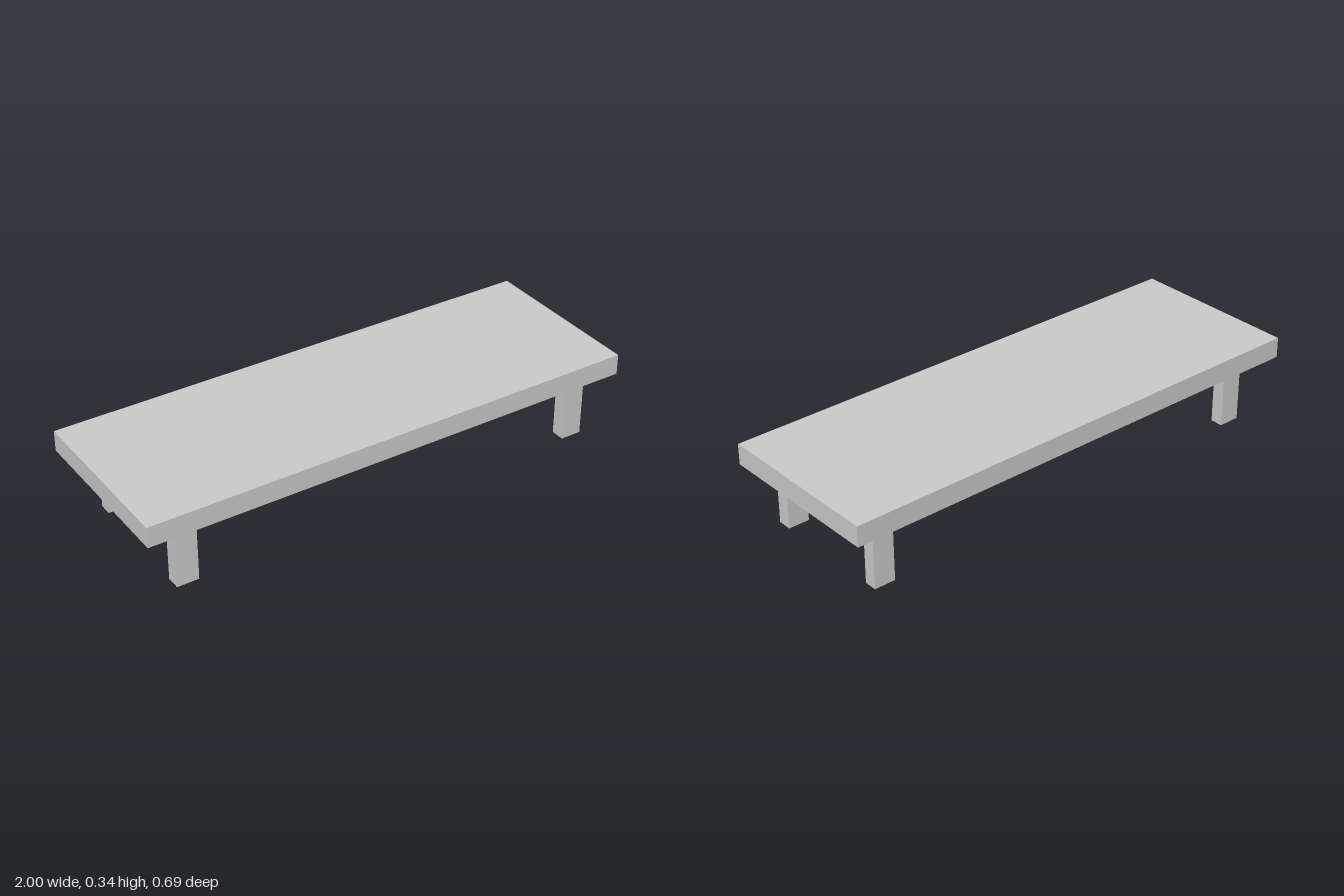
import * as THREE from 'three';

export function createModel() {
  const group = new THREE.Group();
  const material = new THREE.MeshStandardMaterial({ color: 0xcccccc, flatShading: true });

  // Adds a box given its extents along each axis
  function addBox(name, [x0, x1], [y0, y1], [z0, z1]) {
    const mesh = new THREE.Mesh(new THREE.BoxGeometry(x1 - x0, y1 - y0, z1 - z0), material);
    mesh.position.set((x0 + x1) / 2, (y0 + y1) / 2, (z0 + z1) / 2);
    mesh.name = name;
    group.add(mesh);
  }

  const underside = 0.257;

  // Thick rectangular top
  addBox('tableTop', [-1, 1], [underside, 0.339], [-0.344, 0.344]);

  // Four square legs, the back pair slightly slimmer and shorter
  const sides = [['Right', [-0.871, -0.784]], ['Left', [0.806, 0.891]]];
  const rows = [['front', 0, [0.228, 0.284]], ['back', 0.005, [-0.275, -0.224]]];
  for (const [row, foot, z] of rows) {
    for (const [side, x] of sides) addBox(`${row}${side}Leg`, x, [foot, underside], z);
  }

  return group;
}
